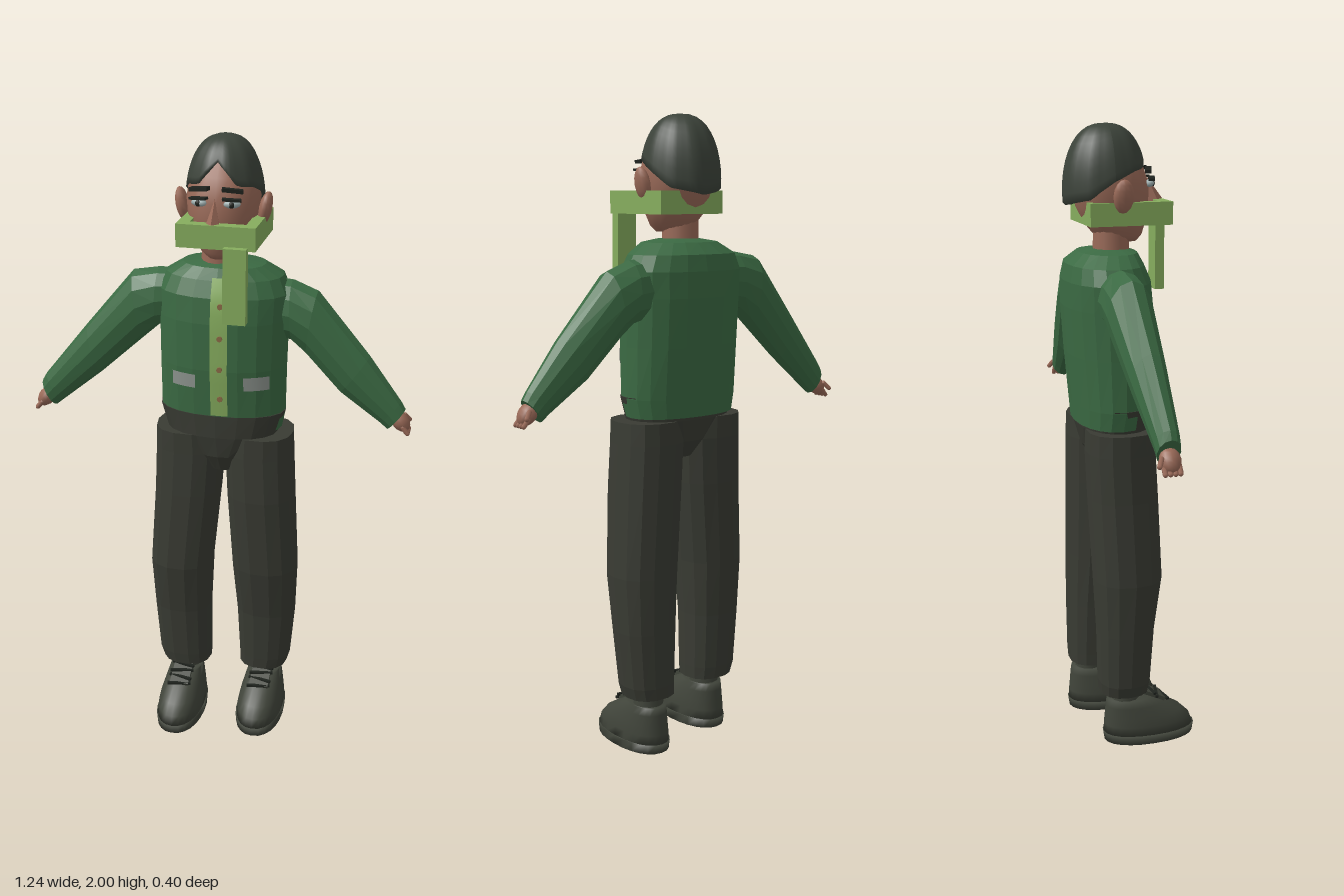
import * as THREE from 'three';

const mat = (name, color, side = THREE.FrontSide) => {
  const m = new THREE.MeshStandardMaterial({ color, side });
  m.name = name;
  return m;
};
const M = {
  jacket: mat('jacketGreen', 0x3b6a43),
  trousers: mat('trouserCharcoal', 0x393b33),
  shoe: mat('shoeOlive', 0x40443a),
  hair: mat('hairDark', 0x3c433a, THREE.DoubleSide),
  skin: mat('skinBrown', 0x9a6a58),
  lime: mat('limeGreen', 0x86ad5e, THREE.DoubleSide),
  grey: mat('pocketGrey', 0x8f9690, THREE.DoubleSide),
  button: mat('buttonBrown', 0x8a6a45),
  white: mat('eyeWhite', 0x9fb0b0),
  dark: mat('darkDetail', 0x20241f),
};

const CX = 0.02; // body centre line

function flat(geo) {
  const g = geo.index ? geo.toNonIndexed() : geo;
  g.computeVertexNormals();
  return g;
}

function add(parent, name, geo, material, pos = [0, 0, 0], rot = [0, 0, 0], scale = [1, 1, 1]) {
  const mesh = new THREE.Mesh(geo, material);
  mesh.name = name;
  mesh.position.set(...pos);
  mesh.rotation.set(...rot);
  mesh.scale.set(...scale);
  parent.add(mesh);
  return mesh;
}

// Closed loft. Each ring is [ax, ay, bx, by, zFront, zBack]: a and b are opposite outline points.
function loft(rings, n = 12, e = 1, faceted = true) {
  const pos = [], idx = [];
  const pw = (v) => Math.sign(v) * Math.abs(v) ** e;
  for (const [ax, ay, bx, by, zf, zb] of rings) {
    for (let i = 0; i < n; i++) {
      const t = (i / n) * Math.PI * 2, c = pw(Math.cos(t)), s = pw(Math.sin(t));
      pos.push((ax + bx) / 2 + (c * (bx - ax)) / 2, (ay + by) / 2 + (c * (by - ay)) / 2, (zf + zb) / 2 + (s * (zf - zb)) / 2);
    }
  }
  for (let j = 0; j < rings.length - 1; j++) {
    for (let i = 0; i < n; i++) {
      const a = j * n + i, b = j * n + ((i + 1) % n);
      idx.push(a, a + n, b, b, a + n, b + n);
    }
  }
  const last = (rings.length - 1) * n;
  for (let i = 1; i < n - 1; i++) idx.push(0, i, i + 1, last, last + i + 1, last + i);
  const g = new THREE.BufferGeometry();
  g.setAttribute('position', new THREE.Float32BufferAttribute(pos, 3));
  g.setIndex(idx);
  g.computeVertexNormals();
  return faceted ? flat(g) : g;
}
// Level rings: [y, x centre, half width, zFront, zBack]
const level = (rows) => rows.map(([y, cx, w, zf, zb]) => [cx - w, y, cx + w, y, zf, zb]);

function table(points, x) {
  for (let i = 1; i < points.length; i++) {
    const [x0, y0] = points[i - 1], [x1, y1] = points[i];
    if (x <= x1) return y0 + ((y1 - y0) * Math.max(0, x - x0)) / (x1 - x0);
  }
  return points[points.length - 1][1];
}

const TORSO = [
  [1.08, CX, 0.19, 0.045, -0.17], [1.14, CX, 0.202, 0.062, -0.175], [1.3, CX, 0.203, 0.076, -0.19],
  [1.45, CX, 0.205, 0.075, -0.2], [1.53, CX, 0.208, 0.066, -0.2], [1.58, CX, 0.185, 0.045, -0.19],
  [1.615, CX, 0.13, 0.028, -0.15], [1.625, CX, 0.07, 0.0, -0.11],
];

// Thin panel that hugs the jacket front
function panel(x0, x1, y0, y1, lift) {
  const g = new THREE.PlaneGeometry(x1 - x0, y1 - y0, 4, 12);
  g.translate((x0 + x1) / 2, (y0 + y1) / 2, 0);
  const p = g.attributes.position;
  for (let i = 0; i < p.count; i++) {
    const col = (k) => table(TORSO.map((r) => [r[0], r[k]]), p.getY(i));
    const u = Math.abs(p.getX(i) - CX) / col(2), f = col(3), b = col(4);
    p.setZ(i, (f + b) / 2 + ((f - b) / 2) * (1 - u ** (2 / 0.9)) ** 0.45 + lift);
  }
  g.computeVertexNormals();
  return g;
}

function hairGeometry() {
  const g = new THREE.SphereGeometry(1, 48, 12, 0, Math.PI * 2, 0, Math.PI / 2);
  const p = g.attributes.position, uv = g.attributes.uv;
  const hairline = [[0, 0.82], [0.25, 0.98], [0.55, 1.22], [1.0, 1.25], [1.57, 1.4], [2.2, 1.68], [3.15, 1.78]];
  for (let i = 0; i < p.count; i++) {
    const v = 1 - uv.getY(i), u = uv.getX(i) * Math.PI * 2;
    const x = -Math.cos(u), z = Math.sin(u), phi = Math.atan2(x, z);
    const th = Math.min(1, v / 0.91) * table(hairline, Math.abs(phi));
    let r = Math.sin(th) ** 0.8 * (0.98 + 0.035 * Math.abs(Math.sin(phi * 5)));
    if (v > 0.95) r *= 0.85; // tucked-in edge
    p.setXYZ(i, CX + x * r * 0.12, 1.8 + 0.2 * Math.cos(th), -0.065 + z * r * 0.13);
  }
  g.computeVertexNormals();
  return g;
}

function buildHead() {
  const head = new THREE.Group();
  head.name = 'head';
  add(head, 'neck', new THREE.CylinderGeometry(0.055, 0.058, 0.13, 14), M.skin, [CX - 0.012, 1.65, -0.05]);
  add(head, 'skull', loft(level([
    [1.645, CX, 0.04, 0.035, -0.07], [1.665, CX, 0.065, 0.05, -0.1], [1.7, CX, 0.085, 0.06, -0.13],
    [1.75, CX, 0.105, 0.068, -0.155], [1.82, CX, 0.112, 0.07, -0.17], [1.89, CX, 0.103, 0.045, -0.165],
    [1.95, CX, 0.06, 0.0, -0.12], [1.97, CX, 0.02, -0.04, -0.08],
  ]), 20, 0.95, false), M.skin);
  add(head, 'hair', hairGeometry(), M.hair);
  add(head, 'nose', flat(new THREE.ConeGeometry(0.024, 0.075, 5)), M.skin, [CX, 1.8, 0.08], [-0.25, 0, 0], [0.9, 1, 1.3]);
  for (const s of [-1, 1]) {
    const x = CX + s * 0.05;
    add(head, 'ear', new THREE.SphereGeometry(1, 10, 8), M.skin, [CX + s * 0.128, 1.79, -0.043], [0, 0, -s * 0.2], [0.02, 0.052, 0.032]);
    add(head, 'eyeWhite', new THREE.SphereGeometry(1, 12, 6), M.white, [x, 1.822, 0.063], [0, s * 0.3, 0], [0.026, 0.012, 0.014]);
    add(head, 'iris', new THREE.SphereGeometry(1, 10, 6), M.dark, [x, 1.822, 0.073], [0, 0, 0], [0.009, 0.01, 0.006]);
    add(head, 'eyelid', new THREE.BoxGeometry(0.056, 0.007, 0.02), M.dark, [x, 1.836, 0.069], [0, s * 0.3, -s * 0.08]);
    add(head, 'eyebrow', new THREE.BoxGeometry(0.062, 0.011, 0.02), M.dark, [x, 1.861, 0.058], [0, s * 0.3, -s * 0.12]);
  }
  return head;
}

function buildScarf() {
  const scarf = new THREE.Group();
  scarf.name = 'scarf';
  const t = 0.035, h = 0.07, y = 1.735;
  for (const z of [0.12 - t / 2, -0.14 + t / 2]) add(scarf, 'scarfBand', new THREE.BoxGeometry(0.24, h, t), M.lime, [0.033, y, z]);
  for (const x of [-0.087 + t / 2, 0.153 - t / 2]) add(scarf, 'scarfSide', new THREE.BoxGeometry(t, h, 0.26 - 2 * t), M.lime, [x, y, -0.01]);
  add(scarf, 'scarfTail', new THREE.BoxGeometry(0.07, 0.23, 0.03), M.lime, [0.095, 1.595, 0.127]);
  return scarf;
}

// Sleeve rows: [upper x, upper y, lower x, lower y, zFront, zBack]
function buildArm(side, rows, hand) {
  const arm = new THREE.Group();
  arm.name = side > 0 ? 'leftArm' : 'rightArm';
  const rings = side > 0 ? rows : rows.map(([a, b, c, d, f, k]) => [c, d, a, b, f, k]);
  add(arm, 'sleeve', loft(rings, 12), M.jacket);
  const palm = new THREE.Group();
  palm.name = 'hand';
  palm.position.set(...hand);
  palm.rotation.z = side * 0.68;
  arm.add(palm);
  add(palm, 'palm', new THREE.SphereGeometry(1, 10, 8), M.skin, [0, 0, 0], [0, 0, 0], [0.027, 0.04, 0.032]);
  for (let i = 0; i < 4; i++) {
    add(palm, 'finger', new THREE.CapsuleGeometry(0.008, 0.025, 3, 6), M.skin, [0, -0.03, -0.022 + i * 0.015]);
  }
  add(palm, 'thumb', new THREE.CapsuleGeometry(0.008, 0.025, 3, 6), M.skin, [side * 0.015, -0.012, -0.034], [0.4, 0, 0]);
  return arm;
}

function buildShoe(x, dz) {
  const shoe = new THREE.Group();
  shoe.name = 'shoe';
  shoe.position.set(x, 0, dz);
  add(shoe, 'sole', loft(level([
    [0, 0, 0.079, 0.145, -0.16], [0.03, 0, 0.081, 0.15, -0.165],
  ]), 24, 0.9, false), M.shoe);
  add(shoe, 'upper', loft(level([
    [0.03, 0, 0.077, 0.146, -0.162], [0.06, 0, 0.076, 0.135, -0.16], [0.09, 0, 0.071, 0.105, -0.157],
    [0.125, 0, 0.062, 0.045, -0.154], [0.15, 0, 0.055, 0.0, -0.15],
  ]), 24, 0.9, false), M.shoe);
  add(shoe, 'ankle', new THREE.CylinderGeometry(0.045, 0.05, 0.08, 12), M.shoe, [0, 0.165, -0.09]);
  add(shoe, 'tongue', new THREE.BoxGeometry(0.065, 0.012, 0.09), M.shoe, [0, 0.152, 0.0], [0.45, 0, 0]);
  for (let i = 0; i < 4; i++) {
    add(shoe, 'lace', new THREE.BoxGeometry(0.08, 0.008, 0.01), M.dark, [0, 0.172 - i * 0.012, -0.025 + i * 0.022], [0, i % 2 ? 0.2 : -0.2, 0]);
  }
  return shoe;
}

export function createModel() {
  const model = new THREE.Group();
  model.name = 'figure';

  // Jacket with placket, buttons and pockets
  add(model, 'jacket', loft(level(TORSO), 20, 0.9), M.jacket);
  add(model, 'placket', panel(0.006, 0.06, 1.15, 1.59, 0.005), M.lime);
  for (const y of [1.21, 1.31, 1.41, 1.51]) {
    const z = table(TORSO.map((r) => [r[0], r[3]]), y);
    add(model, 'button', new THREE.CylinderGeometry(0.009, 0.009, 0.008, 8), M.button, [0.037, y, z + 0.006], [Math.PI / 2, 0, 0]);
  }
  add(model, 'pocketRight', panel(-0.12, -0.042, 1.24, 1.285, 0.006), M.grey);
  add(model, 'pocketLeft', panel(0.11, 0.185, 1.24, 1.285, 0.006), M.grey);

  // Arms
  model.add(buildArm(1, [
    [0.16, 1.57, 0.17, 1.38, -0.01, -0.15], [0.23, 1.565, 0.235, 1.37, -0.008, -0.155], [0.31, 1.535, 0.28, 1.33, -0.008, -0.152],
    [0.48, 1.34, 0.39, 1.215, -0.015, -0.13], [0.585, 1.2, 0.52, 1.125, -0.03, -0.108], [0.6, 1.175, 0.545, 1.105, -0.032, -0.105],
  ], [0.585, 1.135, -0.068]));
  model.add(buildArm(-1, [
    [-0.14, 1.58, -0.15, 1.4, -0.005, -0.14], [-0.19, 1.58, -0.195, 1.39, 0.002, -0.14], [-0.275, 1.565, -0.24, 1.35, 0.002, -0.14],
    [-0.43, 1.38, -0.39, 1.215, -0.005, -0.115], [-0.58, 1.195, -0.52, 1.11, -0.015, -0.092], [-0.595, 1.17, -0.55, 1.085, -0.018, -0.09],
  ], [-0.585, 1.11, -0.055]));

  // Trousers
  add(model, 'hips', loft(level([
    [0.945, 0.03, 0.05, 0.03, -0.11], [1.0, 0.025, 0.1, 0.055, -0.145], [1.07, CX, 0.18, 0.064, -0.162], [1.145, CX, 0.204, 0.064, -0.168],
  ]), 20, 0.9), M.trousers);
  add(model, 'rightTrouserLeg', loft(level([
    [0.18, -0.102, 0.083, 0.035, -0.125], [0.22, -0.108, 0.09, 0.04, -0.13], [0.4, -0.115, 0.097, 0.05, -0.135],
    [0.58, -0.115, 0.105, 0.075, -0.145], [0.85, -0.094, 0.11, 0.067, -0.155], [1.0, -0.087, 0.113, 0.06, -0.16], [1.07, -0.09, 0.108, 0.058, -0.158],
  ]), 14, 0.85), M.trousers);
  add(model, 'leftTrouserLeg', loft(level([
    [0.18, 0.162, 0.082, 0.002, -0.16], [0.22, 0.167, 0.088, 0.006, -0.162], [0.4, 0.17, 0.1, 0.02, -0.163],
    [0.58, 0.166, 0.11, 0.05, -0.163], [0.85, 0.15, 0.112, 0.064, -0.163], [1.0, 0.142, 0.112, 0.06, -0.163], [1.07, 0.143, 0.108, 0.058, -0.16],
  ]), 14, 0.85), M.trousers);

  // Shoes, head and scarf
  model.add(buildShoe(-0.103, 0.05), buildShoe(0.168, 0));
  model.add(buildHead(), buildScarf());
  return model;
}
